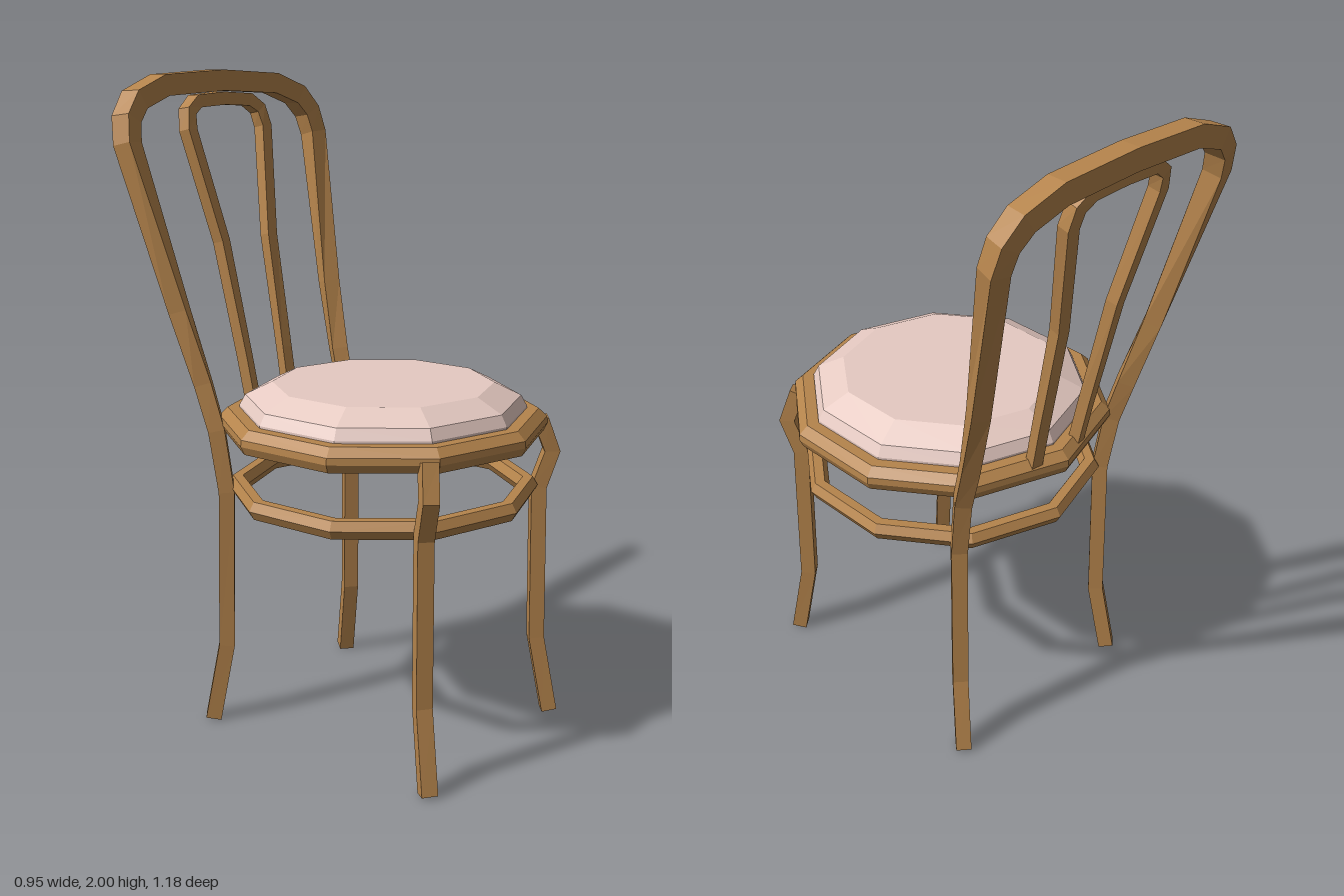
import * as THREE from 'three';

const SEAT_Z = 0.09; // centre of the round seat
const wood = new THREE.MeshStandardMaterial({ color: 0xb5844c, flatShading: true });
const fabric = new THREE.MeshStandardMaterial({ color: 0xe6cac2, flatShading: true });

// Square bar swept along points [x, y, z, halfWidth]; its sides turn with the
// seat's radius low down and square up to the back plane higher up.
function bar(points) {
  const P = points.map(([x, y, z]) => new THREE.Vector3(x, y, z));
  const pos = [], index = [];
  const dir = (a, b) => P[b].clone().sub(P[a]).normalize();
  P.forEach((p, i) => {
    const t = new THREE.Vector3();
    if (i > 0) t.add(dir(i - 1, i));
    if (i < P.length - 1) t.add(dir(i, i + 1));
    t.normalize();
    const turn = THREE.MathUtils.clamp((2 - p.y) / 0.9, 0, 1);
    const n = new THREE.Vector3(p.x * turn, 0, p.z - SEAT_Z);
    n.addScaledVector(t, -n.dot(t)).normalize();
    const b = t.clone().cross(n);
    const h = points[i][3];
    for (const [u, v] of [[1, -1], [1, 1], [-1, 1], [-1, -1]]) {
      const c = p.clone().addScaledVector(n, u * h).addScaledVector(b, v * h);
      pos.push(c.x, c.y, c.z);
    }
    if (i === 0) return;
    const o = (i - 1) * 4;
    for (let j = 0; j < 4; j++) {
      const k = (j + 1) % 4;
      index.push(o + j, o + k, o + 4 + k, o + j, o + 4 + k, o + 4 + j);
    }
  });
  const e = (P.length - 1) * 4;
  index.push(0, 3, 2, 0, 2, 1, e, e + 1, e + 2, e, e + 2, e + 3);
  const g = new THREE.BufferGeometry();
  g.setAttribute('position', new THREE.Float32BufferAttribute(pos, 3));
  g.setIndex(index);
  g.computeVertexNormals();
  return g;
}

const mirrorX = ([x, ...rest]) => [-x, ...rest];
// Complete a hoop from its left half, whose last point lies on x = 0
const hoop = (half) => [...half, ...half.slice(0, -1).reverse().map(mirrorX)];

const lathe = (profile) =>
  new THREE.LatheGeometry(profile.map(([r, y]) => new THREE.Vector2(r, y)), 10);

export function createModel() {
  const chair = new THREE.Group();
  chair.name = 'chair';
  const add = (name, geometry, material = wood) => {
    const mesh = new THREE.Mesh(geometry, material);
    mesh.name = name;
    chair.add(mesh);
    return mesh;
  };

  // Ten-sided seat frame and cushion
  add('seatFrame', lathe([
    [0, 0.935], [0.488, 0.935], [0.5, 0.96], [0.498, 0.98], [0.472, 1.005], [0, 1.005],
  ])).position.z = SEAT_Z;
  add('seatCushion', lathe([
    [0, 0.99], [0.436, 0.99], [0.436, 1.012], [0.418, 1.045], [0.336, 1.085], [0, 1.085],
  ]), fabric).position.z = SEAT_Z;

  // Ring bracing the legs
  const ring = new THREE.TorusGeometry(0.445, 0.031, 6, 10);
  ring.rotateX(Math.PI / 2).rotateY(Math.PI / 2);
  add('legRing', ring).position.set(0, 0.762, SEAT_Z);

  // Front legs
  const leg = [
    [0.344, 0, 0.502, 0.024], [0.318, 0.25, 0.462, 0.024], [0.312, 0.75, 0.457, 0.024],
    [0.335, 0.865, 0.488, 0.024], [0.305, 0.965, 0.463, 0.024],
  ];
  add('leftFrontLeg', bar(leg));
  add('rightFrontLeg', bar(leg.map(mirrorX)));

  // Back legs and outer back hoop, one continuous bent bar
  add('backLegsAndHoop', bar(hoop([
    [0.344, 0, -0.32, 0.024], [0.318, 0.25, -0.28, 0.024], [0.312, 0.75, -0.272, 0.024],
    [0.322, 0.94, -0.298, 0.025], [0.333, 1.08, -0.338, 0.026], [0.362, 1.3, -0.4, 0.027],
    [0.432, 1.79, -0.52, 0.03], [0.418, 1.86, -0.535, 0.031], [0.37, 1.915, -0.547, 0.032],
    [0.255, 1.955, -0.556, 0.032], [0, 1.967, -0.56, 0.032],
  ])));

  // Slim inner back hoop
  add('innerBackHoop', bar(hoop([
    [0.09, 0.97, -0.352, 0.018], [0.096, 1.12, -0.38, 0.018], [0.113, 1.48, -0.452, 0.019],
    [0.174, 1.82, -0.522, 0.02], [0.163, 1.875, -0.534, 0.02], [0.12, 1.905, -0.542, 0.02],
    [0, 1.912, -0.545, 0.02],
  ])));

  return chair;
}
